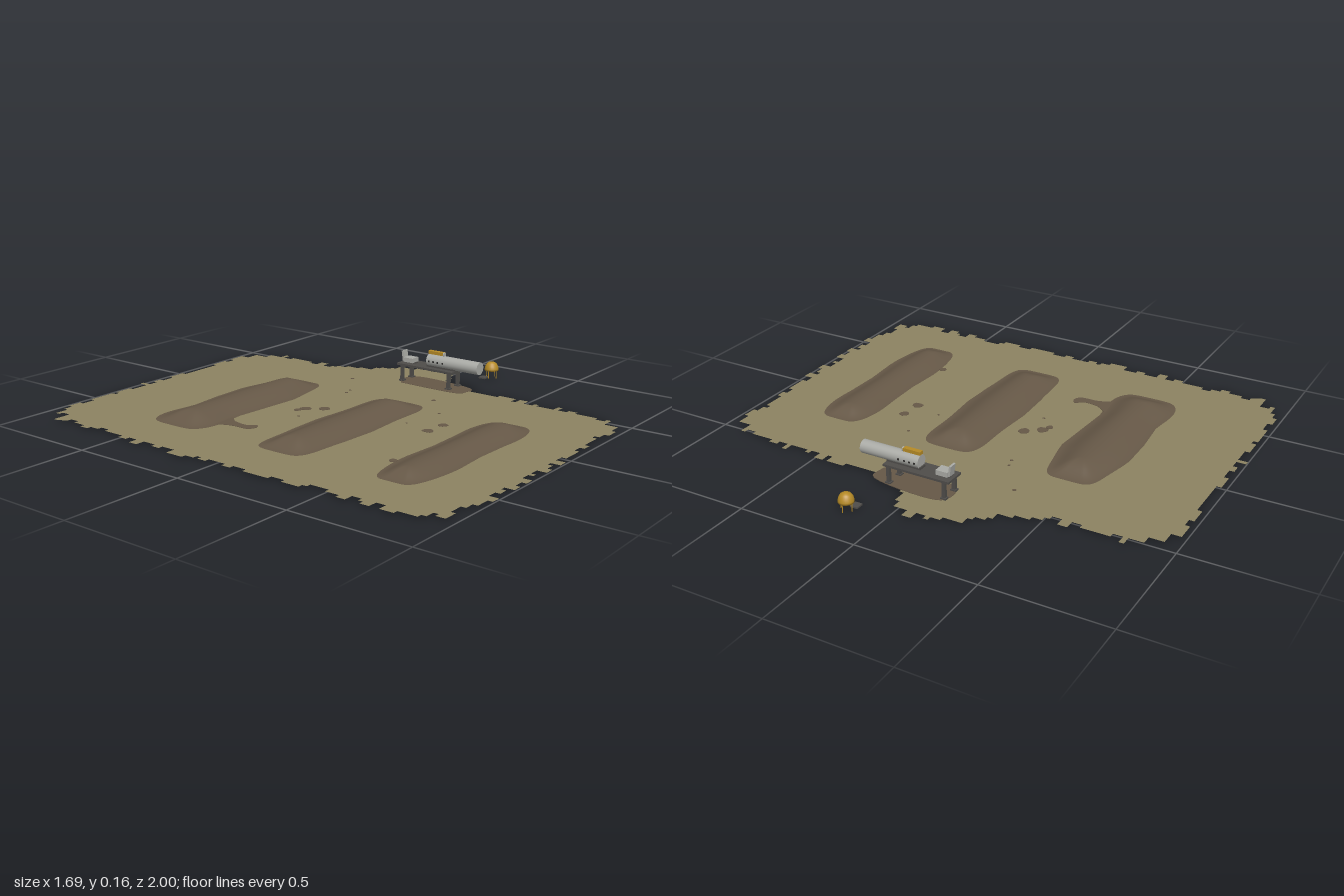
import * as THREE from 'three';

const mat = (name, color, extra = {}) => {
  const m = new THREE.MeshStandardMaterial({ color, ...extra });
  m.name = name;
  return m;
};

export function createModel() {
  const root = new THREE.Group();
  const grass = mat('dry grass', 0x8c8361, { side: THREE.DoubleSide });
  const dirt = mat('dirt', 0x665847, { side: THREE.DoubleSide });
  const steel = mat('light steel', 0xa9aaa5);
  const dark = mat('dark metal', 0x4f4d4a);
  const gold = mat('gold', 0xb58a26);
  const black = mat('vent black', 0x2b2a29);

  const GROUND = 0.006;
  let seed = 7;
  const rnd = () => (seed = (seed * 16807) % 2147483647) / 2147483647;
  const add = (parent, name, geo, material, x = 0, y = 0, z = 0) => {
    const m = new THREE.Mesh(geo, material);
    m.name = name;
    m.position.set(x, y, z);
    parent.add(m);
    return m;
  };
  const box = (parent, name, material, size, pos) =>
    add(parent, name, new THREE.BoxGeometry(...size), material, ...pos);
  // plan points are [x, z]; the shape is laid flat afterwards
  const plan = pts => pts.map(([x, z]) => new THREE.Vector2(x, -z));

  // Ground with a stepped, ragged border
  const border = [[-0.79, -0.86], [-0.7, -0.97], [-0.5, -0.98], [0, -0.97], [0.38, -0.97], [0.45, -0.9],
    [0.53, -0.83], [0.52, -0.6], [0.55, -0.42], [0.62, -0.34], [0.7, -0.26], [0.74, -0.15], [0.72, 0.02],
    [0.62, 0.05], [0.55, 0.1], [0.54, 0.4], [0.54, 0.7], [0.5, 0.87], [0.46, 0.94], [0.34, 0.97],
    [0, 0.98], [-0.5, 0.97], [-0.74, 0.95], [-0.8, 0.87], [-0.81, 0.5], [-0.81, 0], [-0.83, -0.25], [-0.8, -0.6]];
  const snap = v => Math.round(v / 0.02) * 0.02;
  const edge = [];
  border.forEach((a, i) => {
    const b = border[(i + 1) % border.length];
    const dx = b[0] - a[0], dz = b[1] - a[1];
    const alongX = Math.abs(dx) > Math.abs(dz);
    const n = Math.max(1, Math.round(Math.hypot(dx, dz) / 0.035));
    for (let k = 0; k < n; k++) {
      const off = (rnd() - 0.5) * 0.045;
      let x = a[0] + dx * k / n, z = a[1] + dz * k / n;
      if (alongX) z += off; else x += off;
      x = snap(Math.max(x, -0.85));
      z = Math.max(-1, Math.min(1, snap(z)));
      const last = edge[edge.length - 1];
      if (last) edge.push(alongX ? [x, last[1]] : [last[0], z]);
      edge.push([x, z]);
    }
  });

  // Mounds: rings shrinking from a wavy rounded outline to a central ridge
  const mounds = [
    { z0: -0.585, z1: -0.31, h: 0.045, wave: 0.012 },
    { z0: -0.04, z1: 0.225, h: 0.043, wave: 0.006 },
    { z0: 0.51, z1: 0.73, h: 0.037, wave: 0.006 },
  ];
  const N = 72, RINGS = 12, XC = -0.175, HALF = 0.413;
  const holes = mounds.map(({ z0, z1, h, wave }, i) => {
    const zc = (z0 + z1) / 2, hw = (z1 - z0) / 2;
    const spine = HALF - hw;
    const outline = [];
    for (let k = 0; k < N; k++) {
      // even spacing around a box, pulled in at the corners
      const t = k / N * Math.PI * 2, c = Math.cos(t), s = Math.sin(t);
      const px = Math.sign(c) * Math.abs(c) ** 0.4 * HALF;
      const pz = Math.sign(s) * Math.abs(s) ** 0.4 * hw;
      let w = wave * Math.sin(px * 14 + i * 2) * Math.sign(s);
      if (i === 0 && s < 0) w -= 0.04 * Math.exp(-(((px + 0.055) / 0.04) ** 2));
      outline.push([XC + px, zc + pz + (Math.abs(c) < 0.97 ? w : 0)]);
    }
    const pos = [], index = [];
    for (let r = 0; r <= RINGS; r++) {
      const s = 1 - r / RINGS;
      const y = GROUND + (h - GROUND) * (0.5 + 0.5 * Math.cos(Math.PI * s ** 1.15));
      outline.forEach(([x, z]) => {
        const sx = XC + Math.max(-spine, Math.min(spine, x - XC));
        pos.push(sx + (x - sx) * s, y, zc + (z - zc) * s);
      });
    }
    for (let r = 0; r < RINGS; r++) for (let k = 0; k < N; k++) {
      const a = r * N + k, b = r * N + (k + 1) % N;
      index.push(a, a + N, b, b, a + N, b + N);
    }
    const g = new THREE.BufferGeometry();
    g.setAttribute('position', new THREE.Float32BufferAttribute(pos, 3));
    g.setIndex(index);
    g.computeVertexNormals();
    add(root, 'mound' + (i + 1), g, dirt);
    return new THREE.Path(plan(outline));
  });
  const groundShape = new THREE.Shape(plan(edge));
  groundShape.holes.push(...holes);
  add(root, 'ground', new THREE.ShapeGeometry(groundShape).rotateX(-Math.PI / 2), grass, 0, GROUND, 0);

  // Bare earth patches, showing above and below the ground
  const patch = (name, pts) => {
    const curve = new THREE.SplineCurve(plan([...pts, pts[0]]));
    const g = new THREE.ExtrudeGeometry(new THREE.Shape(curve.getPoints(pts.length * 4)),
      { depth: 0.003, bevelEnabled: false });
    add(root, name, g.rotateX(-Math.PI / 2), dirt, 0, GROUND - 0.0015, 0);
  };
  patch('spilledDirt', [[-0.48, -0.33], [-0.45, -0.26], [-0.445, -0.18], [-0.41, -0.16], [-0.385, -0.18],
    [-0.41, -0.21], [-0.4, -0.28], [-0.37, -0.33]]);
  patch('standDirt', [[0.48, -0.1], [0.53, -0.13], [0.6, -0.11], [0.61, 0.02], [0.58, 0.2], [0.52, 0.215],
    [0.48, 0.19], [0.475, 0.05]]);
  [[-0.09, -0.175, 0.024], [-0.125, -0.19, 0.016], [-0.045, -0.11, 0.023], [-0.035, 0.395, 0.022],
    [0.06, 0.4, 0.022], [-0.4, 0.495, 0.018], [0.4, -0.31, 0.008], [0.2, -0.19, 0.007], [0.33, 0.175, 0.009],
    [-0.19, -0.13, 0.006], [0.185, 0.3, 0.006], [0, 0.27, 0.005], [0.24, -0.2, 0.005]].forEach(([x, z, r]) =>
    patch('dirtSpot', [0, 1, 2, 3, 4, 5].map(k => {
      const q = r * (0.8 + 0.35 * rnd());
      return [x + q * Math.cos(k * Math.PI / 3), z + q * Math.sin(k * Math.PI / 3)];
    })));

  // Raised stand
  const stand = new THREE.Group();
  stand.name = 'stand';
  stand.position.x = 0.547;
  root.add(stand);
  box(stand, 'platform', dark, [0.09, 0.009, 0.29], [0, 0.081, 0.005]);
  for (const x of [-0.036, 0.036]) for (const z of [-0.115, 0.13]) {
    box(stand, 'leg', dark, [0.014, 0.078, 0.014], [x, 0.039, z]);
    box(stand, 'foot', dark, [0.022, 0.01, 0.024], [x, 0.008, z]);
  }
  for (const z of [-0.115, 0.13]) box(stand, 'crossBrace', dark, [0.072, 0.008, 0.008], [0, 0.07, z]);
  box(stand, 'cradle', dark, [0.036, 0.012, 0.15], [0, 0.089, 0.075]);

  // Long barrel with vents
  const barrel = new THREE.CylinderGeometry(0.0275, 0.0275, 0.26, 32).rotateX(Math.PI / 2);
  add(stand, 'barrel', barrel, steel, 0, 0.113, 0.135);
  for (const side of [-1, 1]) for (const z of [0.02, 0.042, 0.064, 0.09]) {
    const vent = new THREE.CylinderGeometry(0.0045, 0.0045, 0.003, 12).rotateZ(Math.PI / 2);
    add(stand, 'vent', vent, black, side * 0.027, 0.113, z);
  }

  // Sight on top
  box(stand, 'sightBody', gold, [0.02, 0.014, 0.076], [0, 0.149, 0.042]);
  add(stand, 'sightLens', new THREE.CylinderGeometry(0.01, 0.01, 0.006, 16).rotateX(Math.PI / 2),
    steel, 0, 0.147, 0.082);

  // Operator seat at the rear
  box(stand, 'seatPad', steel, [0.044, 0.02, 0.05], [0, 0.099, -0.095]);
  const back = box(stand, 'seatBack', steel, [0.034, 0.045, 0.008], [0, 0.114, -0.127]);
  back.rotation.x = -0.15;
  box(stand, 'seatSupport', dark, [0.02, 0.006, 0.06], [0, 0.087, -0.095]);

  // Domed marker on thin legs with a small plate beside it
  const dome = new THREE.Group();
  dome.name = 'domedMarker';
  dome.position.set(0.817, 0, 0.16);
  root.add(dome);
  const cap = [[0, 0.034], [0.031, 0.034], [0.031, 0.042], [0.028, 0.055], [0.021, 0.066], [0.011, 0.072], [0, 0.074]];
  add(dome, 'dome', new THREE.LatheGeometry(cap.map(p => new THREE.Vector2(...p)), 24), gold);
  for (let k = 0; k < 4; k++) {
    const a = k * Math.PI / 2;
    add(dome, 'domeLeg', new THREE.CylinderGeometry(0.002, 0.002, 0.034, 6), gold,
      0.025 * Math.cos(a), 0.017, 0.025 * Math.sin(a));
  }
  box(root, 'smallPlate', dark, [0.035, 0.006, 0.032], [0.781, 0.005, 0.142]);
  return root;
}
